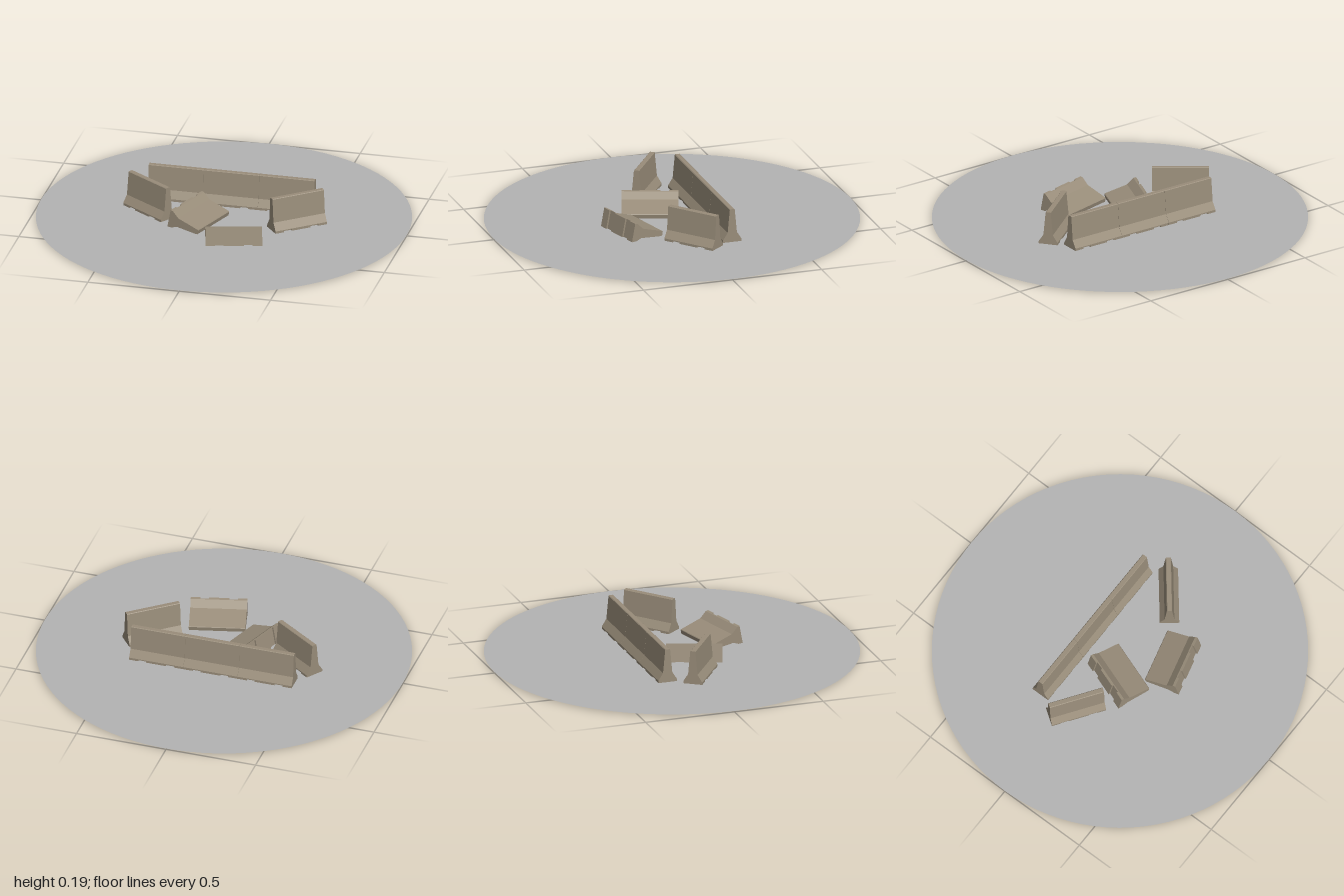
import * as THREE from 'three';

const LENGTH = 0.303, HEIGHT = 0.187, BASE = 0.052, TOP = 0.014;

// Barrier: one cross-section swept along x, with two drainage notches under it
function barrierGeometry() {
  const h = LENGTH / 2 - 0.0005, notch = 0.009;
  // [x, height of the underside]; repeated x makes the notch walls
  const stations = [[-h, 0], [-0.1, 0], [-0.1, notch], [-0.055, notch], [-0.055, 0],
    [0.055, 0], [0.055, notch], [0.1, notch], [0.1, 0], [h, 0]];
  const half = [[BASE, 0], [BASE, 0.015], [0.026, 0.056], [TOP, HEIGHT - 0.003], [TOP - 0.003, HEIGHT]];
  const ring = [...half, ...half.map(([z, y]) => [-z, y]).reverse()];
  const n = ring.length;
  const at = ([x, low], i) => [x, Math.max(ring[i % n][1], low), ring[i % n][0]];
  const pos = [];
  const tri = (a, b, c) => pos.push(...a, ...b, ...c);
  for (let s = 0; s < stations.length - 1; s++) {
    for (let i = 0; i < n; i++) {
      const a = at(stations[s], i), b = at(stations[s + 1], i);
      const c = at(stations[s + 1], i + 1), d = at(stations[s], i + 1);
      tri(a, b, c);
      tri(a, c, d);
    }
  }
  // End caps, as strips between the two mirrored sides
  const first = stations[0], last = stations[stations.length - 1];
  for (let i = 0; i < half.length - 1; i++) {
    const j = n - 1 - i;
    tri(at(first, i), at(first, i + 1), at(first, j - 1));
    tri(at(first, i), at(first, j - 1), at(first, j));
    tri(at(last, i), at(last, j - 1), at(last, i + 1));
    tri(at(last, i), at(last, j), at(last, j - 1));
  }
  const geo = new THREE.BufferGeometry();
  geo.setAttribute('position', new THREE.Float32BufferAttribute(pos, 3));
  geo.computeVertexNormals();
  return geo;
}

export function createModel() {
  const model = new THREE.Group();
  const concrete = new THREE.MeshStandardMaterial({ color: 0x998d7a });
  concrete.name = 'concrete';
  const ground = new THREE.MeshStandardMaterial({ color: 0xb4b4b4, side: THREE.DoubleSide });
  ground.name = 'groundGrey';

  // Round ground plate
  const disc = new THREE.Mesh(new THREE.CircleGeometry(1, 96).rotateX(-Math.PI / 2), ground);
  disc.name = 'groundDisc';
  disc.position.y = 0.002;
  model.add(disc);

  const geo = barrierGeometry();
  const standing = (name, x, z, turn) => {
    const mesh = new THREE.Mesh(geo, concrete);
    mesh.name = name;
    mesh.position.set(x, 0, z);
    mesh.rotation.y = turn;
    model.add(mesh);
  };

  // Toppled barrier: rests on one base edge and its top edge
  const lean = Math.atan2(BASE - TOP, HEIGHT - 0.003);
  const toppled = (name, x, z, turn) => {
    const group = new THREE.Group();
    group.name = name;
    group.position.set(x, 0, z);
    group.rotation.y = turn;
    const mesh = new THREE.Mesh(geo, concrete);
    mesh.name = name + 'Body';
    mesh.rotation.x = -Math.PI / 2 - lean;
    mesh.position.set(0, BASE * Math.cos(lean), 0.088);
    group.add(mesh);
    model.add(group);
  };

  // Back row
  for (let i = -1; i <= 1; i++) standing('backBarrier' + (i + 2), i * LENGTH, -0.184, 0);
  // Angled side barriers
  standing('rightBarrier', -0.404, 0.018, -0.61);
  standing('leftBarrier', 0.404, 0.016, 0.68);
  // Fallen barriers in front
  toppled('fallenBarrierFront', 0.118, 0.265, 0.25);
  toppled('fallenBarrierMiddle', -0.12, 0.083, -1.91);

  return model;
}
